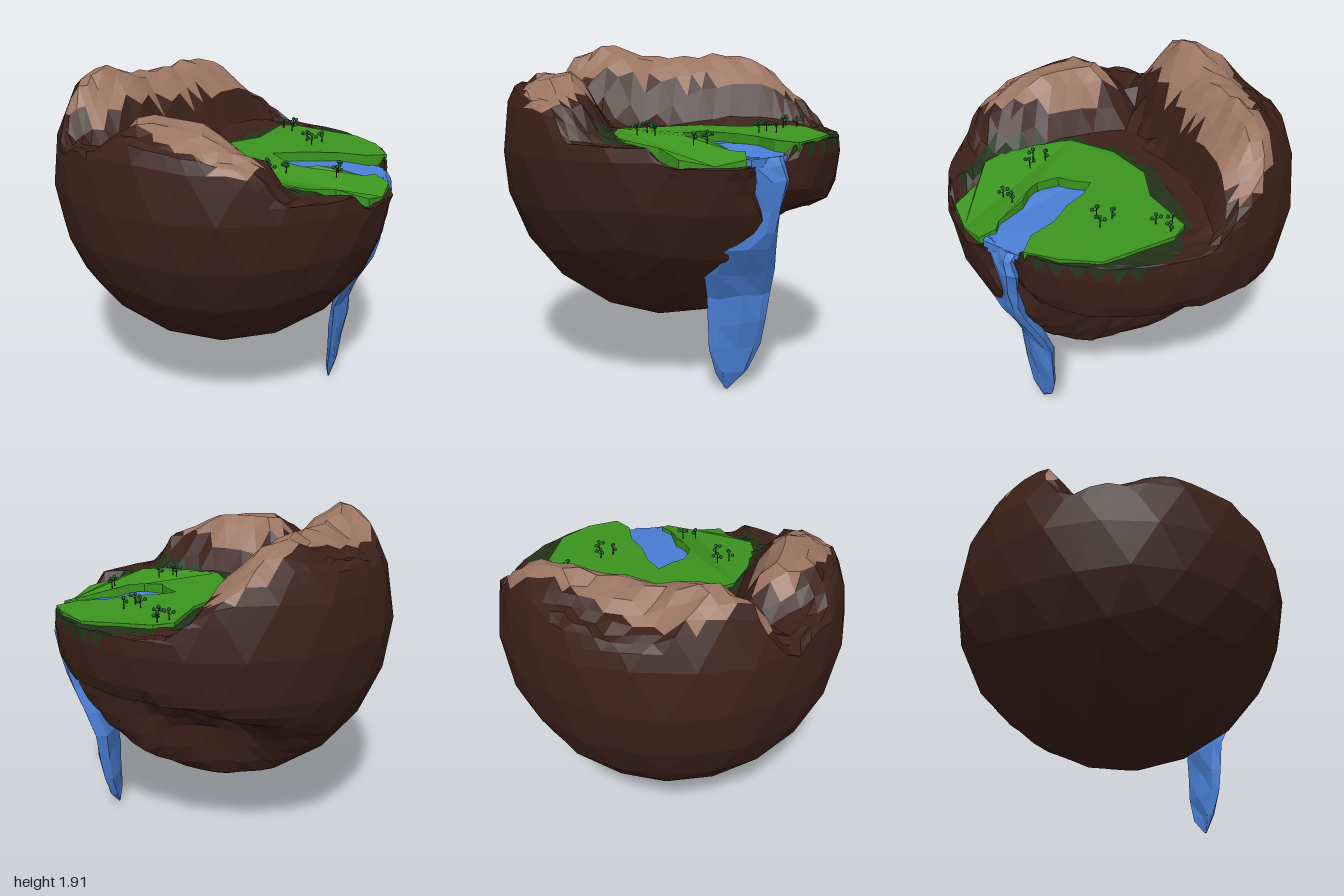
import * as THREE from 'three';

const CY = 1.3; // height of the globe's centre
const { smoothstep, clamp } = THREE.MathUtils;
const bump = (v, c, w) => Math.exp(-(((v - c) / w) ** 2));

// repeatable noise in -1..1, equal for coincident corners
function noise(x, y, z) {
  const q = (v) => Math.round(v * 1000);
  const s = Math.sin(q(x) * 12.9898 + q(y) * 78.233 + q(z) * 37.719) * 43758.5453;
  return (s - Math.floor(s)) * 2 - 1;
}

const paint = (color) => new THREE.MeshStandardMaterial({ color, flatShading: true });
const mats = {
  earth: paint(0x3c2019),
  peaks: paint(0x9b7461),
  verge: paint(0x23321a),
  grass: paint(0x3c951f),
  water: paint(0x4a80d6),
  leaf: paint(0x1f6a32),
  stem: paint(0x3a2a1a),
};

function meshOf(positions, material, name) {
  const g = new THREE.BufferGeometry();
  g.setAttribute('position', new THREE.Float32BufferAttribute(positions, 3));
  g.computeVertexNormals();
  const m = new THREE.Mesh(g, material);
  m.name = name;
  return m;
}

// icosphere triangles, turned so that a corner points straight down
function sphereTriangles(detail) {
  const t = (1 + Math.sqrt(5)) / 2;
  const up = new THREE.Vector3(-1, -t, 0).normalize();
  const side = new THREE.Vector3(1, -t, 0).projectOnPlane(up).normalize();
  const turn = new THREE.Matrix4().makeBasis(side, up, side.clone().cross(up)).invert();
  const pos = new THREE.IcosahedronGeometry(1, detail).applyMatrix4(turn).getAttribute('position');
  const corner = (i) => new THREE.Vector3().fromBufferAttribute(pos, i);
  return Array.from({ length: pos.count / 3 }, (_, i) =>
    new THREE.Triangle(corner(3 * i), corner(3 * i + 1), corner(3 * i + 2)));
}

// broad flat facets of the globe
const facets = sphereTriangles(3).map((t) => t.getPlane(new THREE.Plane()));
function facetRadius(d) {
  let r = 1;
  for (const f of facets) {
    const k = f.normal.dot(d);
    if (k > 0.5) r = Math.min(r, -f.constant / k);
  }
  return r;
}

const ridgeEdge = (z) => -0.42 - 0.33 * z;

// height of the land that caps the globe
function landHeight(x, z) {
  const e = Math.hypot((x - 0.75) / 0.6, (z - 0.02) / 0.42);
  let h = 1.402 - 0.035 * Math.max(0, x) - 0.1 * smoothstep(1 - e, 0, 0.18);
  h += 0.18 * bump(x, -0.5, 0.25) * bump(z, 0.75, 0.25);
  // long ridge
  const s = ridgeEdge(z) - x;
  const ridgeTop = 1.845 + 0.075 * bump(z, 0.2, 0.14) - 0.08 * bump(z, 0.6, 0.15)
    - 0.6 * Math.max(0, -z - 0.65) - 0.12 * (1 - smoothstep(s, 0, 0.17)) - 0.5 * Math.max(0, s - 0.2);
  const ridge = smoothstep(s, -0.2, 0.01) * (1 - smoothstep(z, 0.44, 0.7));
  // short hill
  const hillTop = 1.73 - 0.42 * Math.max(0, x - 0.1) - 0.45 * Math.max(0, z - 0.74);
  const hill = smoothstep(z - 0.22 * x, 0.34, 0.6) * smoothstep(x, -0.5, -0.22) * (1 - smoothstep(x, 0.47, 0.62));
  return Math.max(h, h + (ridgeTop - h) * ridge, h + (hillTop - h) * hill);
}

// globe cut by the land, hollowed at the back and notched for the waterfall
function shapePoint(p) {
  const phi = Math.atan2(-p.y, -p.z) - 0.77;
  const e = Math.hypot((p.x - 0.2) / 0.88, phi / 0.54);
  const dent = 0.28 * (1 - smoothstep(e, 0.4, 1));
  const notch = 0.09 * bump(p.z, -0.25, 0.12) * smoothstep(p.x, 0.5, 0.85) * smoothstep(p.y, -0.4, -0.1);
  const grain = dent > 0.02 ? 0.012 * noise(p.x, p.y, p.z) : 0;
  const v = p.clone().multiplyScalar(facetRadius(p) - dent - notch + grain);
  v.y += CY;
  v.cut = false;
  const base = landHeight(v.x, v.z);
  const h = base + (base > 1.45 ? 0.02 : 0.006) * noise(v.x, 0, v.z);
  if (v.y > 1.1 && v.y > h) {
    v.y = h;
    v.cut = true;
  }
  return v;
}

// bare rock shows on the crest of the ridge and the top of the hill
function isPeak({ x, y, z }) {
  const s = ridgeEdge(z) - x;
  const onRidge = s > -0.03 && s < 0.2 + 0.2 * bump(z, 0.05, 0.7) && z > -0.92 && z < 0.5;
  const a = 0.93 * (x - 0.06) + 0.36 * (z - 0.68);
  const b = 0.93 * (z - 0.68) - 0.36 * (x - 0.06);
  return y > 1.52 && (onRidge || Math.hypot(a / 0.42, b / 0.18) < 1);
}

function buildIsland(group) {
  const parts = { earth: [], peaks: [], verge: [] };
  for (const { a, b, c } of sphereTriangles(11)) {
    const t = [a, b, c].map(shapePoint);
    const m = t[0].clone().add(t[1]).add(t[2]).divideScalar(3);
    let kind = 'earth';
    if (t.some((v) => v.cut)) {
      if (isPeak(m)) kind = 'peaks';
      else if (m.y > 1.33 && m.y < 1.45 && Math.hypot((m.x - 0.45) / 0.56, (m.z + 0.15) / 0.75) < 1) kind = 'verge';
    }
    t.forEach((v) => parts[kind].push(v.x, v.y, v.z));
  }
  const names = { earth: 'earthGlobe', peaks: 'rockyPeaks', verge: 'meadowVerge' };
  for (const k in parts) group.add(meshOf(parts[k], mats[k], names[k]));
}

// slab with an outline in x, z whose top follows a height rule
function slab(outline, depth, height, material, name) {
  const shape = new THREE.Shape(outline.map(([x, z]) => new THREE.Vector2(x, -z)));
  const g = new THREE.ExtrudeGeometry(shape, { depth, bevelEnabled: false });
  g.rotateX(-Math.PI / 2);
  const p = g.getAttribute('position');
  for (let i = 0; i < p.count; i++) p.setY(i, height(p.getX(i), p.getZ(i)) + p.getY(i) - depth);
  g.computeVertexNormals();
  const m = new THREE.Mesh(g, material);
  m.name = name;
  return m;
}

const grassHeight = (x, z) =>
  1.42 - 0.035 * Math.max(0, x) - 0.11 * clamp((x - 0.6) / 0.37, 0, 1) * bump(z, 0.12, 0.32) + 0.005 * noise(x, 0, z);
const poolHeight = (x) => 1.35 - 0.13 * Math.max(0, x - 0.6);

const MEADOW = [
  [-0.03, 0.1], [-0.03, -0.2], [0.08, -0.4], [0.11, -0.73], [0.21, -0.78], [0.62, -0.72], [0.78, -0.57],
  [0.88, -0.4], [0.78, -0.31], [0.62, -0.28], [0.5, -0.21], [0.36, -0.16], [0.26, -0.09], [0.33, -0.02],
  [0.38, 0.06], [0.5, 0.09], [0.58, 0.05], [0.65, 0], [0.82, -0.04], [0.87, -0.1], [0.96, -0.07],
  [0.96, 0.1], [0.92, 0.28], [0.75, 0.33], [0.62, 0.47], [0.4, 0.5], [0.25, 0.42], [0.1, 0.36],
];
const POOL = [
  [0.27, -0.07], [0.38, -0.18], [0.6, -0.3], [0.87, -0.35], [0.9, -0.25], [0.95, -0.1],
  [0.9, -0.05], [0.8, 0], [0.6, 0.07], [0.42, 0.09], [0.32, 0.02],
];

// waterfall rings from the brim down: y, x, z from, z to, half thickness
const FALL = [
  [1.31, 0.88, -0.31, -0.06, 0.035], [1.26, 0.9, -0.31, -0.09, 0.035], [1.18, 0.9, -0.34, -0.11, 0.04],
  [1.04, 0.885, -0.3, -0.15, 0.045], [0.92, 0.865, -0.29, -0.12, 0.05], [0.83, 0.84, -0.3, 0.06, 0.05],
  [0.68, 0.755, -0.33, 0.08, 0.05], [0.54, 0.7, -0.33, 0.04, 0.04], [0.38, 0.69, -0.31, 0.03, 0.035],
  [0.24, 0.675, -0.29, 0.02, 0.03], [0.1, 0.665, -0.22, -0.03, 0.025], [0, 0.655, -0.11, -0.09, 0.004],
];

function buildWaterfall() {
  const N = 8;
  const rings = FALL.map(([y, x, z0, z1, t], r) =>
    Array.from({ length: N }, (_, i) => {
      const a = (i / N) * Math.PI * 2;
      const wob = r < FALL.length - 1 ? 0.012 * noise(i, r, 3) : 0;
      return [x + t * Math.cos(a) + wob, y + wob, (z0 + z1) / 2 + ((z1 - z0) / 2) * Math.sin(a)];
    }));
  const out = [];
  for (let r = 0; r < rings.length - 1; r++)
    for (let i = 0; i < N; i++) {
      const j = (i + 1) % N;
      const [a, b, c, d] = [rings[r][i], rings[r][j], rings[r + 1][j], rings[r + 1][i]];
      out.push(...a, ...b, ...d, ...b, ...c, ...d);
    }
  // close both ends
  const top = rings[0], end = rings[rings.length - 1];
  for (let i = 1; i < N - 1; i++) {
    out.push(...top[0], ...top[i + 1], ...top[i]);
    out.push(...end[0], ...end[i], ...end[i + 1]);
  }
  return meshOf(out, mats.water, 'waterfall');
}

// small sprout: stem, twigs and three leaf balls
function buildSprout(x, z, turn) {
  const g = new THREE.Group();
  g.name = 'sprout';
  const add = (name, geometry, material, px, py, pz, tilt = 0) => {
    const m = new THREE.Mesh(geometry, material);
    m.name = name;
    m.position.set(px, py, pz);
    m.rotation.z = tilt;
    g.add(m);
  };
  add('stem', new THREE.CylinderGeometry(0.003, 0.004, 0.055, 5), mats.stem, 0, 0.025, 0);
  [[0, 0.06, 0], [0.026, 0.05, 0.006], [-0.022, 0.044, 0.012]].forEach(([bx, by, bz]) => {
    add('twig', new THREE.CylinderGeometry(0.002, 0.002, 0.026, 4), mats.stem, bx / 2, by - 0.008, bz / 2, -Math.sign(bx) * 1.1);
    add('leafBall', new THREE.IcosahedronGeometry(0.011, 1), mats.leaf, bx, by, bz);
  });
  g.position.set(x, grassHeight(x, z), z);
  g.rotation.y = turn;
  return g;
}

export function createModel() {
  const model = new THREE.Group();
  model.name = 'floatingIsland';
  buildIsland(model);
  model.add(slab(MEADOW, 0.1, grassHeight, mats.grass, 'meadow'));
  model.add(slab(POOL, 0.06, poolHeight, mats.water, 'pool'));
  model.add(buildWaterfall());
  const sprouts = [
    [0.15, -0.68], [0.2, -0.73], [0.22, -0.63], [0.37, -0.45], [0.46, -0.47], [0.42, -0.38],
    [0.69, 0.04], [0.7, 0.12], [0.34, 0.26], [0.45, 0.25], [0.38, 0.33],
  ];
  sprouts.forEach(([x, z], i) => model.add(buildSprout(x, z, i * 1.3)));
  return model;
}
